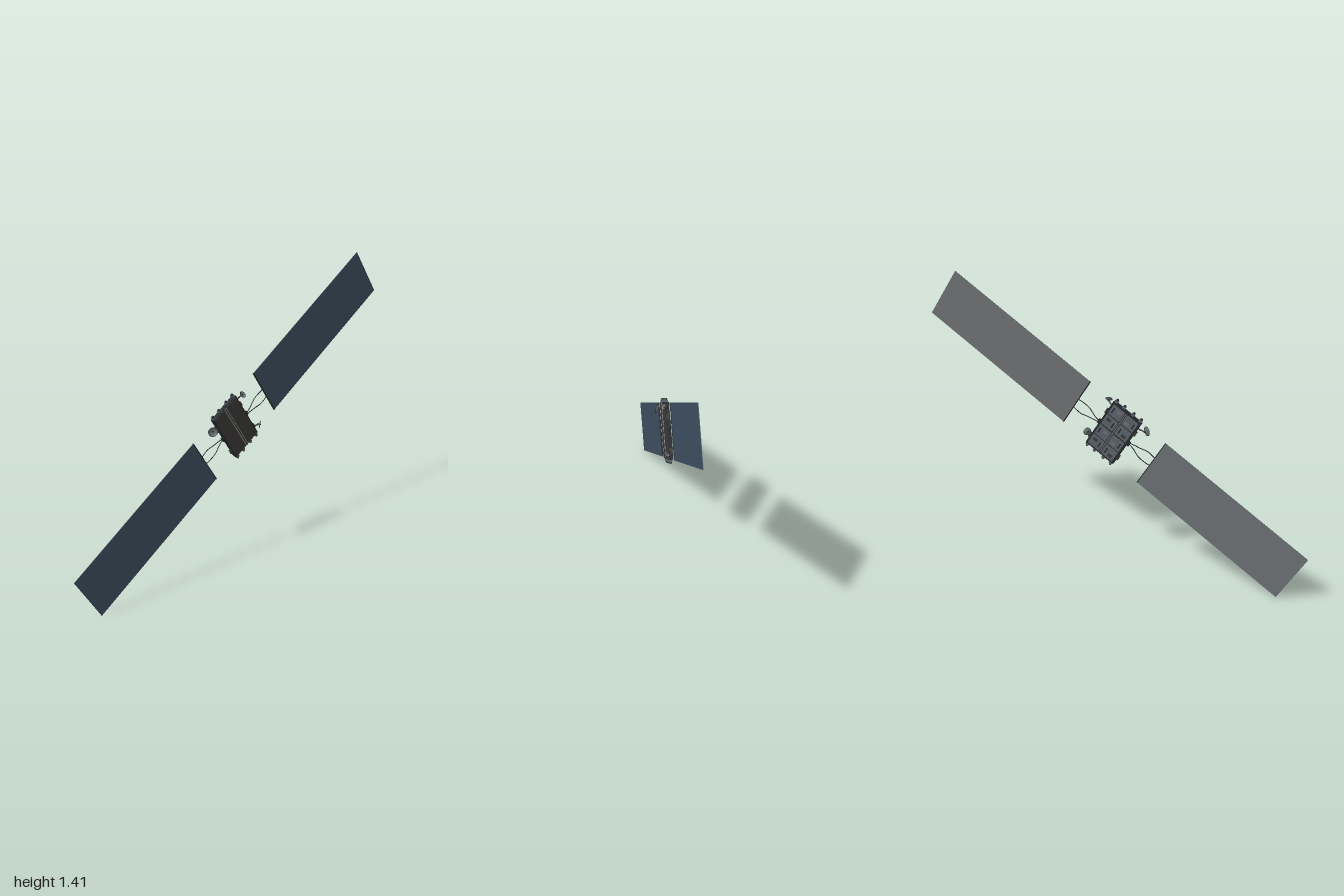
import * as THREE from 'three';

const mat = (name, color, side = THREE.FrontSide) => {
  const m = new THREE.MeshStandardMaterial({ color, side });
  m.name = name;
  return m;
};

export function createModel() {
  const cellBlue = mat('cell blue', 0x3d4e60);
  const backGrey = mat('panel back grey', 0x6b6e70);
  const bodyDark = mat('body charcoal', 0x3c3a38);
  const black = mat('frame black', 0x24282c);
  const plateGrey = mat('plate blue grey', 0x596068);
  const trim = mat('trim light grey', 0x8d9092);
  const dishGrey = mat('dish grey', 0x666a6c, THREE.DoubleSide);

  const model = new THREE.Group();
  model.name = 'satellite';

  // Everything is laid out along local x, then tilted as a whole
  const craft = new THREE.Group();
  craft.name = 'tiltedCraft';
  craft.position.y = 0.71;
  craft.rotation.z = THREE.MathUtils.degToRad(32.6);
  model.add(craft);

  const add = (parent, name, geo, material, x = 0, y = 0, z = 0) => {
    const mesh = new THREE.Mesh(geo, material);
    mesh.name = name;
    mesh.position.set(x, y, z);
    parent.add(mesh);
    return mesh;
  };
  const box = (parent, name, m, w, h, d, x, y, z) =>
    add(parent, name, new THREE.BoxGeometry(w, h, d), m, x, y, z);

  // Solar wings: the second is the first turned half round
  for (const turn of [0, Math.PI]) {
    const wing = new THREE.Group();
    wing.name = turn ? 'rightWing' : 'leftWing';
    wing.rotation.z = turn;
    craft.add(wing);
    box(wing, 'solarCells', cellBlue, 0.864, 0.272, 0.0015, 0.668, 0, -0.0085);
    box(wing, 'solarBacking', backGrey, 0.864, 0.272, 0.0015, 0.668, 0, -0.01);
    box(wing, 'innerEdgeBar', black, 0.004, 0.272, 0.008, 0.235, 0, -0.009);

    // Pair of bowed yoke wires from the body to the inner edge
    const paths = [
      [[0.08, -0.004], [0.12, 0.002], [0.165, 0.019], [0.2, 0.021], [0.236, 0.017]],
      [[0.08, -0.004], [0.115, -0.016], [0.15, -0.025], [0.19, -0.037], [0.236, -0.034]],
    ];
    for (const path of paths) {
      const curve = new THREE.CatmullRomCurve3(path.map(([x, y]) => new THREE.Vector3(x, y, -0.009)));
      add(wing, 'yokeWire', new THREE.TubeGeometry(curve, 20, 0.0022, 6), black);
    }
    box(wing, 'yokeHinge', black, 0.014, 0.024, 0.01, 0.09, -0.003, -0.009);
  }

  // Body slab with front covers, central ridge and edge rails
  const body = new THREE.Group();
  body.name = 'body';
  craft.add(body);
  box(body, 'bodyCore', black, 0.166, 0.268, 0.02, 0, 0, -0.01);
  for (const s of [-1, 1]) {
    box(body, 'frontCover', bodyDark, 0.072, 0.27, 0.004, s * 0.044, 0, 0.002);
    box(body, 'ridgeRail', trim, 0.003, 0.272, 0.004, s * 0.0055, 0, 0.0035);
    box(body, 'sideRail', black, 0.005, 0.276, 0.022, s * 0.0835, 0, -0.009);
    box(body, 'endRail', black, 0.17, 0.006, 0.02, 0, s * 0.136, -0.01);
    // Thrusters and fittings along the two short ends
    for (const x of [-0.074, -0.028, 0.028, 0.074]) {
      box(body, 'endFitting', plateGrey, 0.016, 0.016, 0.016, x, s * 0.143, -0.009);
      const nozzle = add(body, 'endNozzle', new THREE.CylinderGeometry(0.005, 0.007, 0.012, 10),
        black, x, s * 0.152, -0.008);
      if (s < 0) nozzle.rotation.x = Math.PI;
    }
    // Small boxes on the long sides
    for (const y of [-0.095, 0.07]) box(body, 'sideBox', bodyDark, 0.01, 0.026, 0.014, s * 0.089, y, -0.01);
  }
  box(body, 'ridge', bodyDark, 0.008, 0.272, 0.004, 0, 0, 0.003);

  // Back: two columns of equipment plates with small raised boxes
  for (const s of [-1, 1]) {
    [-0.1, -0.034, 0.034, 0.1].forEach((y, row) => {
      box(body, 'backPlate', plateGrey, 0.07, 0.06, 0.003, s * 0.041, y, -0.0212);
      box(body, 'backBox', row % 2 ? backGrey : bodyDark, 0.024, 0.016, 0.004,
        s * (row % 2 ? 0.03 : 0.052), y + s * 0.01, -0.0235);
      box(body, 'backSlot', black, 0.007, 0.03, 0.003, s * (row % 2 ? 0.062 : 0.022), y, -0.0225);
    });
  }
  box(body, 'backSpine', backGrey, 0.005, 0.262, 0.004, 0, 0, -0.021);

  // Dish antennas on short booms, opening forward and outward
  const dishes = [
    [-0.121, 0.105, 0.023, -0.4, -0.45],
    [0.113, 0.114, 0.016, -0.6, 0.5],
    [0.11, -0.103, 0.018, 0.55, 0.5],
  ];
  for (const [x, y, r, rx, ry] of dishes) {
    const dish = new THREE.Group();
    dish.name = 'dishAntenna';
    dish.position.set(x, y, 0.006);
    dish.rotation.set(rx, ry, 0);
    craft.add(dish);
    const profile = [0, 0.35, 0.7, 1].map(t => new THREE.Vector2(r * t, 0.4 * r * t * t));
    add(dish, 'dishBowl', new THREE.LatheGeometry(profile, 20), dishGrey).rotation.x = Math.PI / 2;
    add(dish, 'dishRim', new THREE.TorusGeometry(r, 0.0012, 6, 20), black, 0, 0, 0.4 * r);
    add(dish, 'dishFeed', new THREE.CylinderGeometry(0.0015, 0.0015, 0.7 * r, 6), black, 0, 0, 0.35 * r)
      .rotation.x = Math.PI / 2;
    add(dish, 'dishHub', new THREE.SphereGeometry(0.0055, 10, 8), black, 0, 0, -0.003);
    const boom = new THREE.LineCurve3(new THREE.Vector3(x, y, 0.003),
      new THREE.Vector3(Math.sign(x) * 0.08, y * 0.95, -0.008));
    add(craft, 'dishBoom', new THREE.TubeGeometry(boom, 1, 0.0035, 6), black);
  }

  return model;
}
